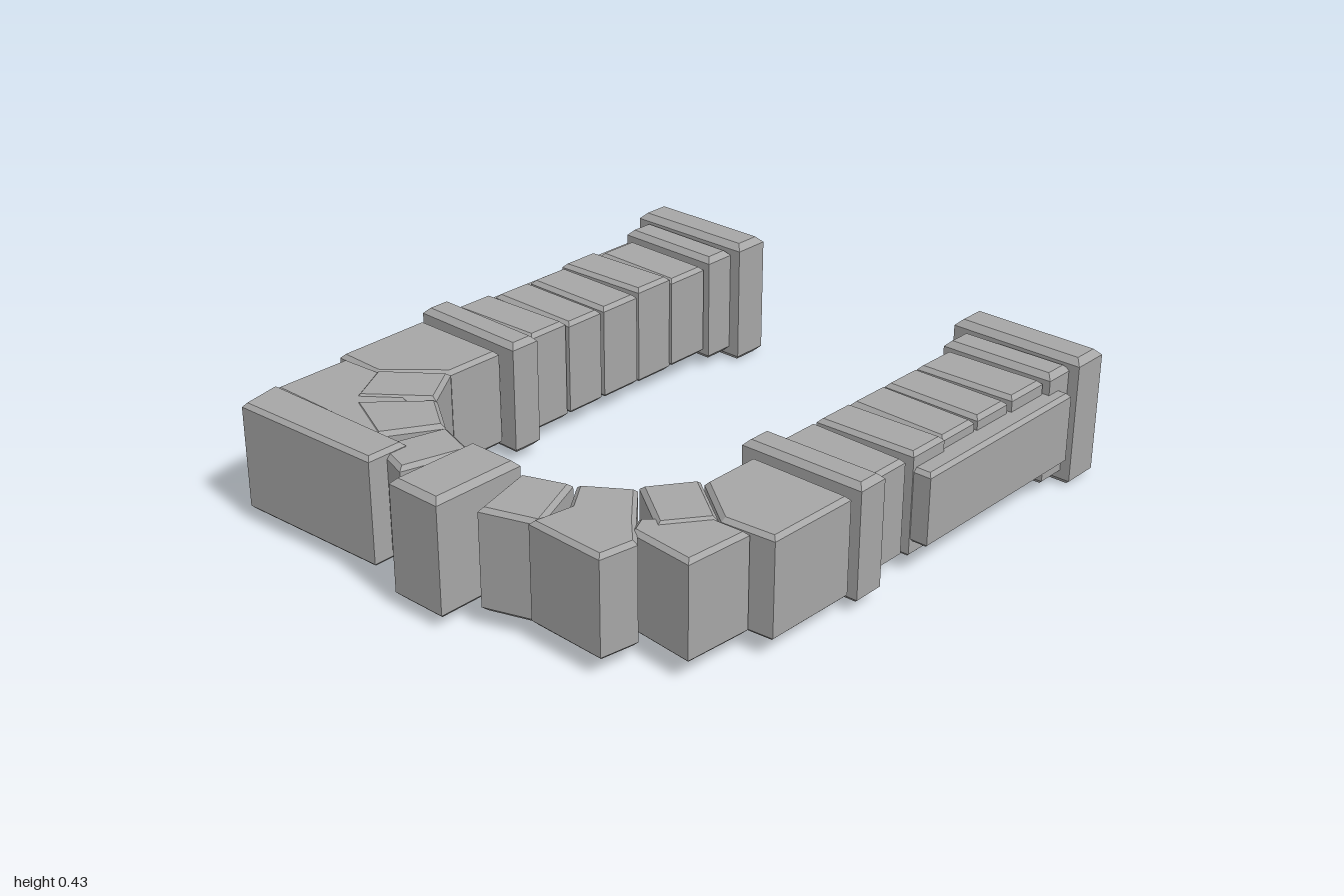
import * as THREE from 'three';

export function createModel() {
  const model = new THREE.Group();
  model.name = 'stoneArch';
  const stone = new THREE.MeshStandardMaterial({ color: 0xa6a6a6 });
  stone.name = 'grey stone';

  // Chamfered stone with an [x, z] footprint, standing from y0 to y1
  function addStone(name, points, y0, y1, bevel = 0.013, parent = model) {
    const shape = new THREE.Shape(points.map(([x, z]) => new THREE.Vector2(x, -z)));
    const geometry = new THREE.ExtrudeGeometry(shape, {
      depth: y1 - y0 - 2 * bevel, bevelEnabled: true, bevelSegments: 1,
      bevelSize: bevel, bevelThickness: bevel, bevelOffset: -bevel,
    });
    geometry.rotateX(-Math.PI / 2);
    geometry.translate(0, y0 + bevel, 0);
    const mesh = new THREE.Mesh(geometry, stone);
    mesh.name = name;
    parent.add(mesh);
    return mesh;
  }

  // Rectangular footprint, skewed a little so the stones look hand cut
  const rect = (x0, x1, z0, z1, skew = 0) =>
    [[x0, z0 + skew], [x1, z0 - skew], [x1, z1 - skew], [x0, z1 + skew]];

  // Two straight legs: foot, plinth, courses, band and outer panel
  const courses = [[-0.76, -0.6], [-0.59, -0.44], [-0.43, -0.275], [-0.26, -0.115], [-0.1, 0.05]];
  for (const side of [-1, 1]) {
    const leg = new THREE.Group();
    leg.name = side > 0 ? 'leftLeg' : 'rightLeg';
    model.add(leg);
    const shift = side < 0 ? -0.008 : 0;
    const span = (inner, outer) => [side * inner, side * outer].sort((a, b) => a - b).map(x => x + shift);
    addStone('foot', rect(...span(0.44, 0.9), -1, -0.875), 0, 0.43, 0.02, leg);
    addStone('plinth', rect(...span(0.48, 0.865), -0.88, -0.77, 0.004 * side), 0.03, 0.405, 0.018, leg);
    courses.forEach(([z0, z1], i) => {
      const j = Math.sin(i * 2.3 + side) * 0.006;
      addStone('course', rect(...span(0.5 + j, 0.84 + j), z0, z1, j), 0.055 - j, 0.383 + j, 0.013, leg);
    });
    addStone('band', rect(...span(0.46, 0.88), 0.06, 0.165, 0.004 * side), 0.03, 0.41, 0.018, leg);
    addStone('outerPanel', rect(...span(0.8, 0.905), -0.835, -0.125), 0.1, 0.34, 0.012, leg);
  }

  // Curved head: wedge stones with outer fillers
  const head = [
    ['springer', [[-0.87, 0.18], [-0.52, 0.18], [-0.52, 0.38], [-0.69, 0.53], [-0.865, 0.525]], 0.055, 0.38],
    ['wedge', [[-0.69, 0.53], [-0.51, 0.39], [-0.41, 0.54], [-0.6, 0.69]], 0.052, 0.386],
    ['wedge', [[-0.41, 0.535], [-0.265, 0.635], [-0.37, 0.81], [-0.58, 0.71]], 0.055, 0.382],
    ['cornerFiller', [[-0.83, 0.53], [-0.66, 0.52], [-0.45, 0.6], [-0.36, 0.81], [-0.83, 0.81]], 0.055, 0.38],
    ['frontSlab', [[-0.82, 0.81], [-0.25, 0.8], [-0.25, 0.94], [-0.79, 0.96]], 0.04, 0.395],
    ['wedge', [[-0.26, 0.635], [-0.105, 0.685], [-0.165, 0.9], [-0.32, 0.85]], 0.055, 0.38],
    ['keystone', [[-0.1, 0.68], [0.09, 0.68], [0.09, 0.995], [-0.1, 0.995]], 0.03, 0.41],
    ['wedge', [[0.1, 0.69], [0.25, 0.635], [0.29, 0.73], [0.34, 0.85], [0.16, 0.91]], 0.055, 0.38],
    ['wedge', [[0.26, 0.63], [0.4, 0.535], [0.52, 0.67], [0.6, 0.75], [0.58, 0.875],
      [0.31, 0.865], [0.33, 0.73]], 0.055, 0.38],
    ['wedge', [[0.4, 0.53], [0.5, 0.39], [0.68, 0.52], [0.58, 0.655]], 0.05, 0.386],
    ['outerFiller', [[0.51, 0.65], [0.66, 0.515], [0.78, 0.51], [0.765, 0.735], [0.54, 0.715]], 0.06, 0.378],
    ['springer', [[0.51, 0.18], [0.86, 0.18], [0.855, 0.495], [0.68, 0.51], [0.51, 0.385]], 0.055, 0.38],
  ];
  for (const [name, points, y0, y1] of head) {
    addStone(name, points, y0, y1, name === 'keystone' ? 0.018 : 0.013);
  }

  return model;
}
